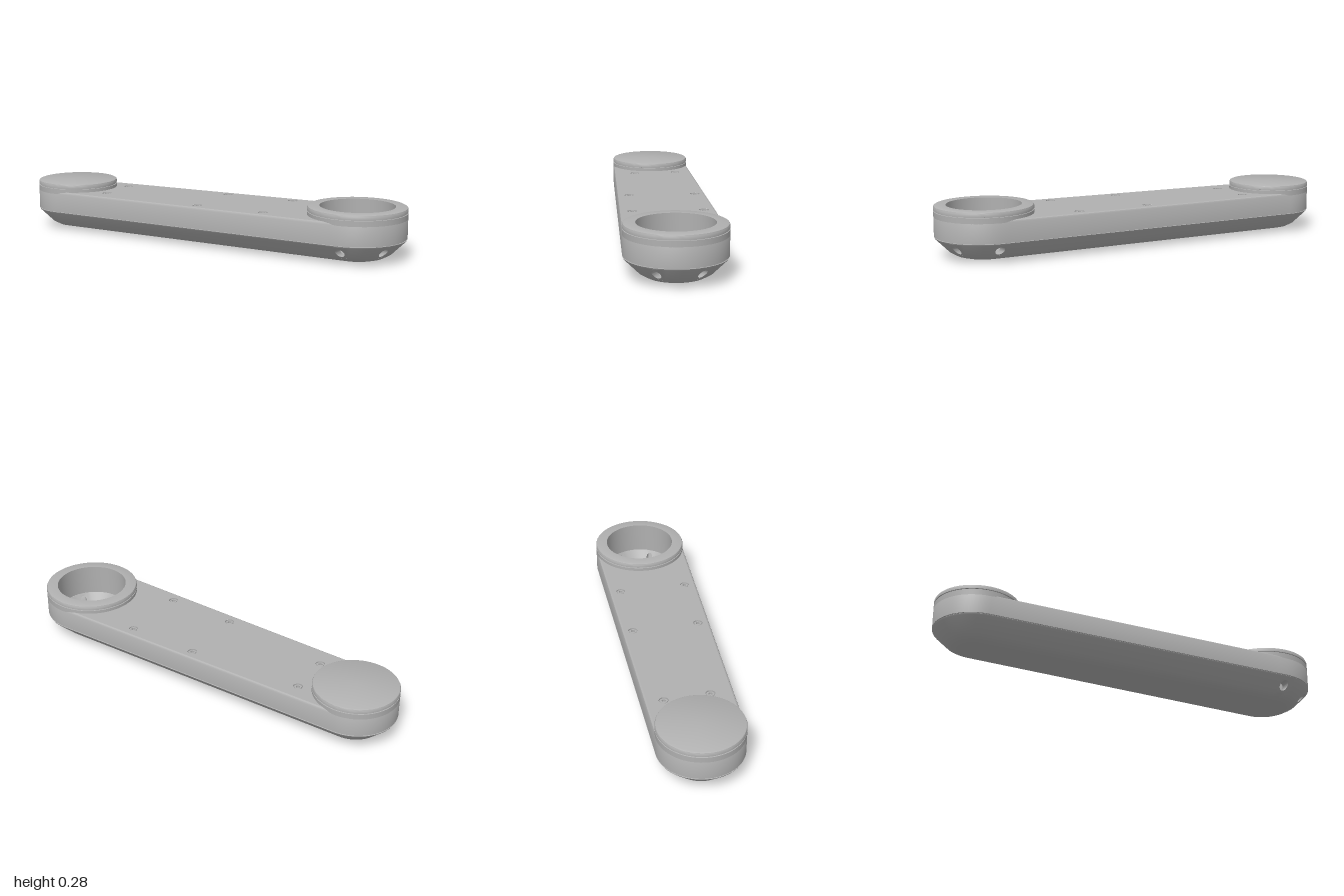
import * as THREE from 'three';
import { toCreasedNormals } from 'three/addons/utils/BufferGeometryUtils.js';

// Two round ends of a tapered arm, on the ground plane (x, z)
const A = { x: -0.77, z: -0.508, r: 0.23 };
const B = { x: 0.73, z: 0.47, r: 0.265 };
const phi = Math.atan2(B.z - A.z, B.x - A.x);
const theta = Math.acos((A.r - B.r) / Math.hypot(B.x - A.x, B.z - A.z));
const TOP = 0.232;

// Side holes around end B, as angles from the arm's axis
const holes = [-Math.PI / 2, -Math.PI / 6, Math.PI / 6, Math.PI / 2];
const HALF = 0.15;

const onCircle = (c, u, r) => [c.x + r * Math.cos(phi + u), c.z + r * Math.sin(phi + u)];

// Outline near end B: an arc that runs on into the straight sides
function armPoint(u, inset) {
  const v = THREE.MathUtils.clamp(u, -theta, theta);
  const [x, z] = onCircle(B, v, B.r - inset);
  const s = (u - v) * B.r;
  return [x - s * Math.sin(phi + v), z + s * Math.cos(phi + v)];
}

// Angles of the columns, with a pair of cells kept free for each hole
function holeColumns() {
  const us = [];
  holes.forEach((h, i) => {
    us.push(h - HALF, h, h + HALF);
    if (i === holes.length - 1) return;
    const end = holes[i + 1] - HALF;
    for (let k = 1; k < 7; k++) us.push(THREE.MathUtils.lerp(h + HALF, end, k / 7));
  });
  return us;
}

// Closed skin from rows of [offset, y]; row 'gap' leaves room for the holes
function skin(columns, rows, gap, outward, patchPoint) {
  const pos = [];
  const tri = (a, b, c) => pos.push(...a, ...(outward ? b : c), ...(outward ? c : b));
  const at = (col, row) => { const [x, z] = col.p(row[0]); return [x, row[1], z]; };
  const n = columns.length;
  const mid = [0, rows[0][1], 0];
  columns.forEach((c) => { const p = at(c, rows[0]); mid[0] += p[0] / n; mid[2] += p[2] / n; });
  for (let j = 0; j < n; j++) {
    const c0 = columns[j], c1 = columns[(j + 1) % n];
    tri(mid, at(c0, rows[0]), at(c1, rows[0]));
    for (let i = 0; i < rows.length - 1; i++) {
      const m = (c0.u + c1.u) / 2;
      if (i === gap && holes.some((h) => Math.abs(m - h) < HALF)) continue;
      const a = at(c0, rows[i]), b = at(c1, rows[i]), c = at(c1, rows[i + 1]), d = at(c0, rows[i + 1]);
      tri(a, d, b);
      tri(d, c, b);
    }
  }
  // Wall patches pierced by the holes
  for (const h of holes) {
    const s = new THREE.Shape([[-HALF, 0], [0, -0.001], [HALF, 0], [HALF, 1], [0, 1.001], [-HALF, 1]]
      .map(([u, t]) => new THREE.Vector2(h + u, t)));
    s.holes.push(new THREE.Path().absellipse(h, 0.46, 0.105, 0.34, 0, Math.PI * 2, true));
    const g = new THREE.ShapeGeometry(s, 12);
    const p = g.attributes.position, ix = g.index;
    const q = (k) => patchPoint(p.getX(ix.getX(k)), THREE.MathUtils.clamp(p.getY(ix.getX(k)), 0, 1));
    for (let k = 0; k < ix.count; k += 3) tri(q(k), q(k + 2), q(k + 1));
  }
  return fromTriangles(pos);
}

function fromTriangles(pos) {
  const g = new THREE.BufferGeometry();
  g.setAttribute('position', new THREE.Float32BufferAttribute(pos, 3));
  return toCreasedNormals(g, 0.5);
}

// Point on a sloped wall segment between two rows
const between = (point, r0, r1) => (u, t) => {
  const [x, z] = point(u, THREE.MathUtils.lerp(r0[0], r1[0], t));
  return [x, THREE.MathUtils.lerp(r0[1], r1[1], t), z];
};

export function createModel() {
  const group = new THREE.Group();
  const grey = new THREE.MeshStandardMaterial({ color: 0xb0b0b0 });
  grey.name = 'plain grey';
  const add = (name, geometry, x = 0, z = 0) => {
    const m = new THREE.Mesh(geometry, grey);
    m.name = name;
    m.position.set(x, 0, z);
    group.add(m);
  };
  const lathe = (pts, seg = 64) =>
    toCreasedNormals(new THREE.LatheGeometry(pts.map(([r, y]) => new THREE.Vector2(r, y)), seg), 0.5);

  // Arm body: rounded belly, seam groove, upright sides and softened top edge
  const columns = holeColumns().map((u) => ({ u, p: (d) => armPoint(u, d) }));
  for (let k = 0; k <= 32; k++) {
    const u = theta + (2 * Math.PI - 2 * theta) * k / 32;
    columns.push({ u: 10 + u, p: (d) => onCircle(A, u, A.r - d) });
  }
  const body = [[0.18, 0], [0.148, 0.004], [0.112, 0.014], [0.075, 0.035], [0.004, 0.105],
    [0, 0.112], [0.005, 0.113], [0.005, 0.116], [0, 0.117], [0, 0.22], [0.004, 0.228], [0.012, TOP]];
  const outer = between(armPoint, body[3], body[4]);
  add('armBody', skin(columns, body, 3, true, outer));

  // Flat top, open at the socket and the screw recesses
  const screws = [[-0.47, -0.475], [-0.595, -0.26], [0.1, -0.165], [-0.095, 0.15], [0.445, 0.055], [0.24, 0.375]];
  const top = new THREE.Shape(columns.map((c) => {
    const [x, z] = c.p(0.012);
    return new THREE.Vector2(x, -z);
  }));
  for (const [x, z, r] of [[B.x, B.z, 0.23], ...screws.map((s) => [...s, 0.026])]) {
    top.holes.push(new THREE.Path().absarc(x, -z, r, 0, Math.PI * 2, true));
  }
  add('armTop', new THREE.ShapeGeometry(top, 24).rotateX(-Math.PI / 2).translate(0, TOP, 0));

  // Countersunk screws with a small socket
  for (const [x, z] of screws) {
    add('screw', lathe([[0.026, TOP], [0.026, 0.224], [0.021, 0.224], [0.019, 0.23],
      [0.011, 0.23], [0.011, 0.218], [0, 0.218]], 24), x, z);
  }

  // Raised collars: a closed cap at one end, an open ring at the other
  const rim = (r) => [[r, 0.22], [r, 0.25], [r - 0.005, 0.251], [r - 0.005, 0.255], [r, 0.256],
    [r, 0.271], [r - 0.003, 0.277], [r - 0.009, 0.28]];
  add('endCap', lathe([...rim(A.r), [0, 0.28]]), A.x, A.z);
  add('socketRing', lathe([...rim(B.r), [0.2, 0.28], [0.2, 0.105]]), B.x, B.z);

  // Bowl at the bottom of the socket
  const bowlPoint = (u, r) => onCircle(B, u, r);
  const bowlAngles = holeColumns();
  const last = Math.PI / 2 + HALF;
  for (let k = 1; k < 24; k++) bowlAngles.push(last + (2 * Math.PI - 2 * last) * k / 24);
  const bowl = [[0.05, 0.016], [0.11, 0.02], [0.15, 0.035], [0.2, 0.105]];
  const inner = between(bowlPoint, bowl[2], bowl[3]);
  add('socketBowl', skin(bowlAngles.map((u) => ({ u, p: (r) => bowlPoint(u, r) })), bowl, 2, false, inner));

  // Bores joining the bowl to the outside
  for (const h of holes) {
    const pos = [];
    const uv = (k) => [h + 0.105 * Math.cos(k * Math.PI / 12), 0.46 + 0.34 * Math.sin(k * Math.PI / 12)];
    for (let k = 0; k < 24; k++) {
      const a = uv(k), b = uv(k + 1);
      pos.push(...inner(...a), ...inner(...b), ...outer(...a));
      pos.push(...outer(...a), ...inner(...b), ...outer(...b));
    }
    add('sideBore', fromTriangles(pos));
  }
  return group;
}
